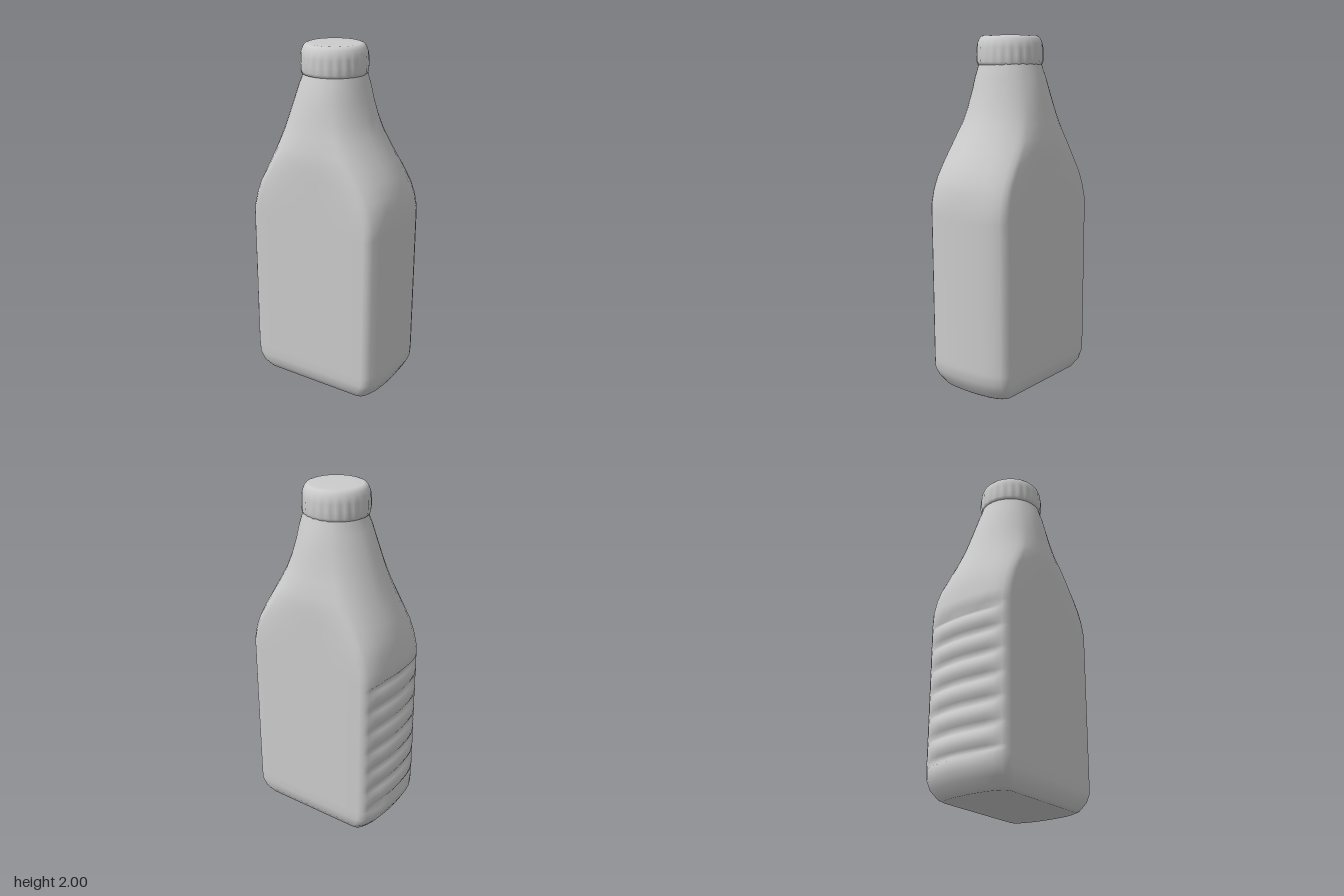
import * as THREE from 'three';

const material = new THREE.MeshStandardMaterial({ color: 0xcccccc });

// Quarter of the body outline (unit size): [x, z, matching angle on the round neck]
const QUARTER = [
  [1, 0, 0], [0.994, 0.25, 14], [0.975, 0.55, 29], [0.945, 0.74, 41], [0.905, 0.89, 50],
  [0.86, 0.97, 56], [0.8, 1, 62], [0.55, 1, 71], [0.28, 1, 80], [0, 1, 90],
];

// Full unit outline, mirrored into four quarters; round = 0 boxy, 1 circular
function outline(round) {
  const quarter = QUARTER.map(([x, z, deg]) => {
    const a = THREE.MathUtils.degToRad(deg);
    return [THREE.MathUtils.lerp(x, Math.cos(a), round), THREE.MathUtils.lerp(z, Math.sin(a), round)];
  });
  const back = quarter.slice(0, -1).reverse();
  const half = [...quarter, ...back.map(([x, z]) => [-x, z])];
  return [...half, ...half.slice(1, -1).reverse().map(([x, z]) => [x, -z])];
}

// Skin a stack of closed rings, bottom to top
function loft(rings) {
  const n = rings[0].length, index = [];
  for (let j = 0; j < rings.length - 1; j++) {
    for (let i = 0; i < n; i++) {
      const a = j * n + i, b = j * n + (i + 1) % n, c = a + n, d = b + n;
      index.push(a, c, b, b, c, d);
    }
  }
  const geometry = new THREE.BufferGeometry();
  geometry.setAttribute('position', new THREE.Float32BufferAttribute(rings.flat(2), 3));
  geometry.setIndex(index);
  geometry.computeVertexNormals();
  return geometry;
}

// Levels: [y, reach to -x, reach to +x, half depth, roundness]
const BASE = [
  [0.025, 0, 0, 0, 0], [0.022, 0.22, 0.22, 0.12, 0], [0.008, 0.32, 0.32, 0.19, 0],
  [0.003, 0.355, 0.355, 0.215, 0], [0.015, 0.375, 0.375, 0.235, 0],
  [0.06, 0.41, 0.405, 0.265, 0], [0.11, 0.437, 0.432, 0.272, 0],
];
const SHOULDER = [
  [1.07, 0.437, 0.441, 0.272, 0], [1.15, 0.425, 0.434, 0.272, 0.08], [1.22, 0.41, 0.42, 0.272, 0.2],
  [1.3, 0.38, 0.388, 0.272, 0.38], [1.37, 0.351, 0.35, 0.272, 0.55], [1.44, 0.322, 0.312, 0.268, 0.72],
  [1.52, 0.292, 0.27, 0.25, 0.84], [1.6, 0.264, 0.238, 0.236, 0.93], [1.7, 0.228, 0.209, 0.217, 1],
  [1.77, 0.203, 0.195, 0.2, 1], [1.81, 0.186, 0.184, 0.186, 1], [1.86, 0.172, 0.172, 0.172, 1],
];

// Grip ribs scallop the -x side between these heights
const RIB_LOW = 0.19, RIB_HIGH = 0.98, RIBS = 6;
function groove(y, z) {
  if (y < RIB_LOW - 0.01 || y > RIB_HIGH + 0.01) return 0;
  const phase = (y - RIB_LOW) / (RIB_HIGH - RIB_LOW) * RIBS * Math.PI;
  return 0.026 * (1 - Math.abs(Math.sin(phase))) * (1 - THREE.MathUtils.smoothstep(Math.abs(z), 0.17, 0.26));
}

function createBody() {
  const ribRows = [];
  for (let k = 0; k <= RIBS * 6; k++) {
    const y = THREE.MathUtils.lerp(RIB_LOW, RIB_HIGH, k / (RIBS * 6));
    ribRows.push([y, 0.443, THREE.MathUtils.lerp(0.434, 0.441, y), 0.272, 0]);
  }
  const levels = [...BASE, [0.165, 0.442, 0.435, 0.272, 0], ...ribRows, [1.01, 0.442, 0.441, 0.272, 0], ...SHOULDER];
  const rings = levels.map(([y, left, right, depth, round]) => outline(round).map(([ux, uz]) => {
    const z = uz * depth;
    return ux < 0 ? [ux * left + groove(y, z), y, z] : [ux * right, y, z];
  }));
  return new THREE.Mesh(loft(rings), material);
}

// Screw cap with a finely ridged skirt
function createCap() {
  const profile = [
    [0.165, 1.835], [0.18, 1.838], [0.187, 1.855], [0.189, 1.89], [0.187, 1.93],
    [0.182, 1.955], [0.172, 1.98], [0.16, 1.994], [0.145, 1.999], [0.08, 2], [0, 2],
  ].map(([r, y]) => new THREE.Vector2(r, y));
  const geometry = new THREE.LatheGeometry(profile, 96);
  const position = geometry.attributes.position;
  for (let i = 0; i < position.count; i++) {
    const x = position.getX(i), y = position.getY(i), z = position.getZ(i);
    if (y < 1.85 || y > 1.94) continue;
    const s = 1 - 0.016 * (1 + Math.cos(Math.atan2(z, x) * 24));
    position.setXYZ(i, x * s, y, z * s);
  }
  geometry.computeVertexNormals();
  const mesh = new THREE.Mesh(geometry, material);
  mesh.position.set(-0.003, 0, 0.004);
  return mesh;
}

export function createModel() {
  const group = new THREE.Group();
  group.name = 'bottle';
  const body = createBody();
  body.name = 'body';
  const cap = createCap();
  cap.name = 'cap';
  group.add(body, cap);
  return group;
}
